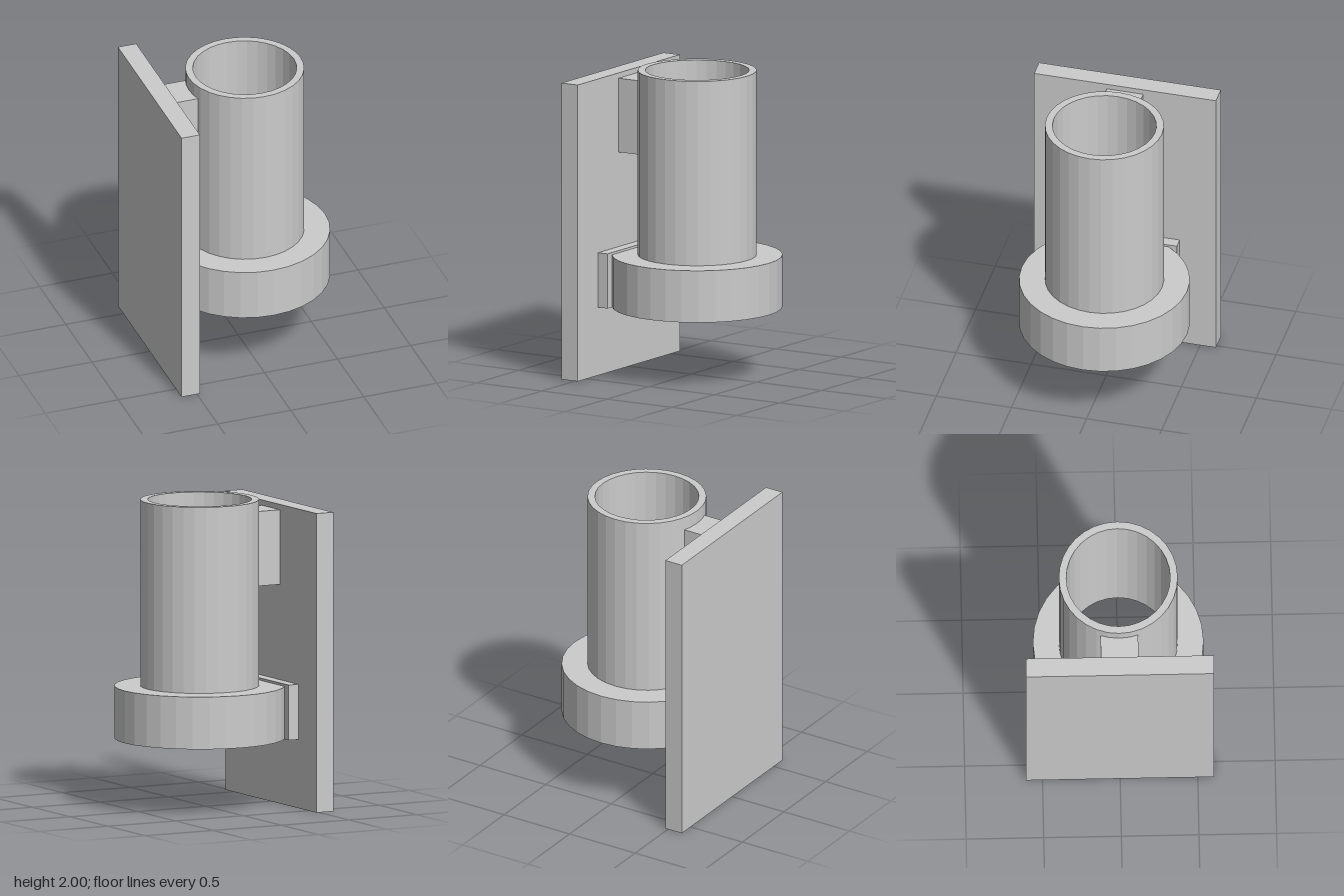
import * as THREE from 'three';

const AXIS_X = 0.045; // vertical axis of the tube

export function createModel() {
  const group = new THREE.Group();
  const material = new THREE.MeshStandardMaterial({ color: 0xcccccc, flatShading: true });

  const add = (name, geometry) => {
    const mesh = new THREE.Mesh(geometry, material);
    mesh.name = name;
    group.add(mesh);
    return mesh;
  };
  // Box given by its lower and upper limits on x and y, and its half depth
  const box = (name, x0, x1, y0, y1, halfZ) =>
    add(name, new THREE.BoxGeometry(x1 - x0, y1 - y0, 2 * halfZ))
      .position.set((x0 + x1) / 2, (y0 + y1) / 2, 0);

  // Upright mounting plate
  box('mountingPlate', -0.605, -0.48, 0, 1.945, 0.605);

  // Hollow tube with a wide collar, open at both ends
  const profile = [
    [0.5, 0.45], [0.55, 0.45], [0.55, 0.79], [0.383, 0.79], [0.383, 2],
    [0.335, 2], [0.335, 0.7], [0.5, 0.7], [0.5, 0.45],
  ].map(([r, y]) => new THREE.Vector2(r, y));
  add('collaredTube', new THREE.LatheGeometry(profile, 32)).position.x = AXIS_X;

  // Narrow block joining the tube to the plate
  box('upperBracket', -0.482, -0.319, 1.425, 1.91, 0.121);

  // Wide block behind the collar: a thin lip over two sides hollowed round it
  box('lowerBracketLip', -0.482, -0.408, 0.77, 0.805, 0.364);
  const r = 0.527;
  const arcZ = (x) => Math.sqrt(r * r - (x - AXIS_X) ** 2);
  const angle = (x) => Math.atan2(arcZ(x), x - AXIS_X);
  const shape = new THREE.Shape();
  shape.moveTo(-0.48, 0.364);
  shape.lineTo(-0.48, arcZ(-0.48));
  shape.absarc(AXIS_X, 0, r, angle(-0.48), angle(-0.408), true);
  shape.lineTo(-0.408, 0.364);
  for (const side of [1, -1]) {
    const geometry = new THREE.ExtrudeGeometry(shape, { depth: 0.325, bevelEnabled: false, curveSegments: 6 });
    geometry.rotateX(-Math.PI / 2); // extrude upwards, shape lies on the -z side
    if (side > 0) geometry.rotateX(Math.PI).translate(0, 0.325, 0);
    add(side > 0 ? 'lowerBracketLeft' : 'lowerBracketRight', geometry).position.y = 0.446;
  }
  return group;
}
